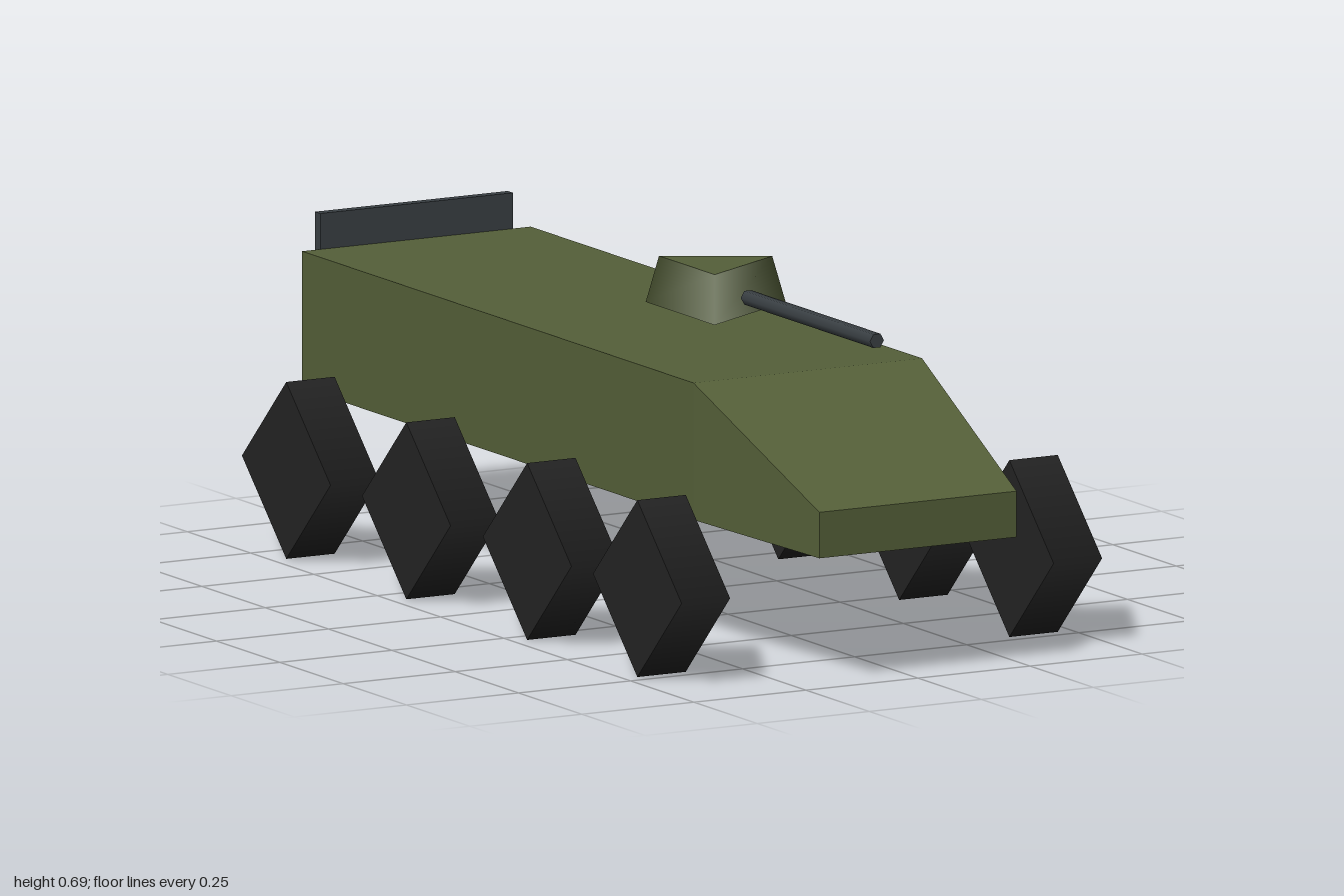
import * as THREE from 'three';

const paint = (name, color) => {
  const m = new THREE.MeshStandardMaterial({ color });
  m.name = name;
  return m;
};

// Hull from rectangular cross-sections [z, halfWidth, bottom, top], rear to nose
function hullGeometry(sections) {
  const points = [];
  const index = [];
  for (const [z, w, y0, y1] of sections) {
    points.push(w, y0, z, w, y1, z, -w, y1, z, -w, y0, z);
  }
  const quad = (a, b, c, d) => index.push(a, b, c, a, c, d);
  for (let s = 0; s < sections.length - 1; s++) {
    for (let i = 0; i < 4; i++) {
      const j = (i + 1) % 4;
      const a = s * 4;
      quad(a + i, a + j, a + 4 + j, a + 4 + i);
    }
  }
  const n = (sections.length - 1) * 4;
  quad(3, 2, 1, 0);
  quad(n, n + 1, n + 2, n + 3);
  const g = new THREE.BufferGeometry();
  g.setAttribute('position', new THREE.Float32BufferAttribute(points, 3));
  g.setIndex(index);
  const flat = g.toNonIndexed();
  flat.computeVertexNormals();
  return flat;
}

export function createModel() {
  const model = new THREE.Group();
  model.name = 'armouredVehicle';
  const green = paint('olive green', 0x556039);
  const steel = paint('dark steel', 0x3a4044);
  const rubber = paint('black rubber', 0x232323);

  const add = (name, geometry, material, x, y, z) => {
    const mesh = new THREE.Mesh(geometry, material);
    mesh.name = name;
    mesh.position.set(x, y, z);
    model.add(mesh);
    return mesh;
  };

  // Hull with a sloped, tapering nose
  add('hull', hullGeometry([
    [-0.98, 0.255, 0.265, 0.536],
    [0.565, 0.255, 0.265, 0.536],
    [1, 0.22, 0.259, 0.35],
  ]), green, 0, 0, 0);

  // Rear plate standing above the deck
  add('rearPlate', new THREE.BoxGeometry(0.43, 0.347, 0.021), steel, 0, 0.4335, -0.9895);

  // Three-sided turret, one corner pointing to the left
  add('turret', new THREE.CylinderGeometry(0.127, 0.157, 0.094, 3, 1, false, Math.PI / 2),
    green, 0, 0.642, 0.2);

  // Six-sided gun barrel
  const barrel = new THREE.CylinderGeometry(0.0155, 0.0155, 0.51, 6);
  barrel.rotateY(Math.PI / 6).rotateX(Math.PI / 2);
  add('gunBarrel', barrel, steel, 0, 0.641, 0.583);

  // Four-sided wheels, four per side
  const wheel = new THREE.CylinderGeometry(0.175, 0.175, 0.108, 4);
  wheel.rotateZ(Math.PI / 2);
  for (const side of [1, -1]) {
    [0.722, 0.287, -0.19, -0.664].forEach((z, i) => {
      add(`${side > 0 ? 'left' : 'right'}Wheel${i + 1}`, wheel, rubber, side * 0.415, 0.176, z);
    });
  }
  return model;
}
